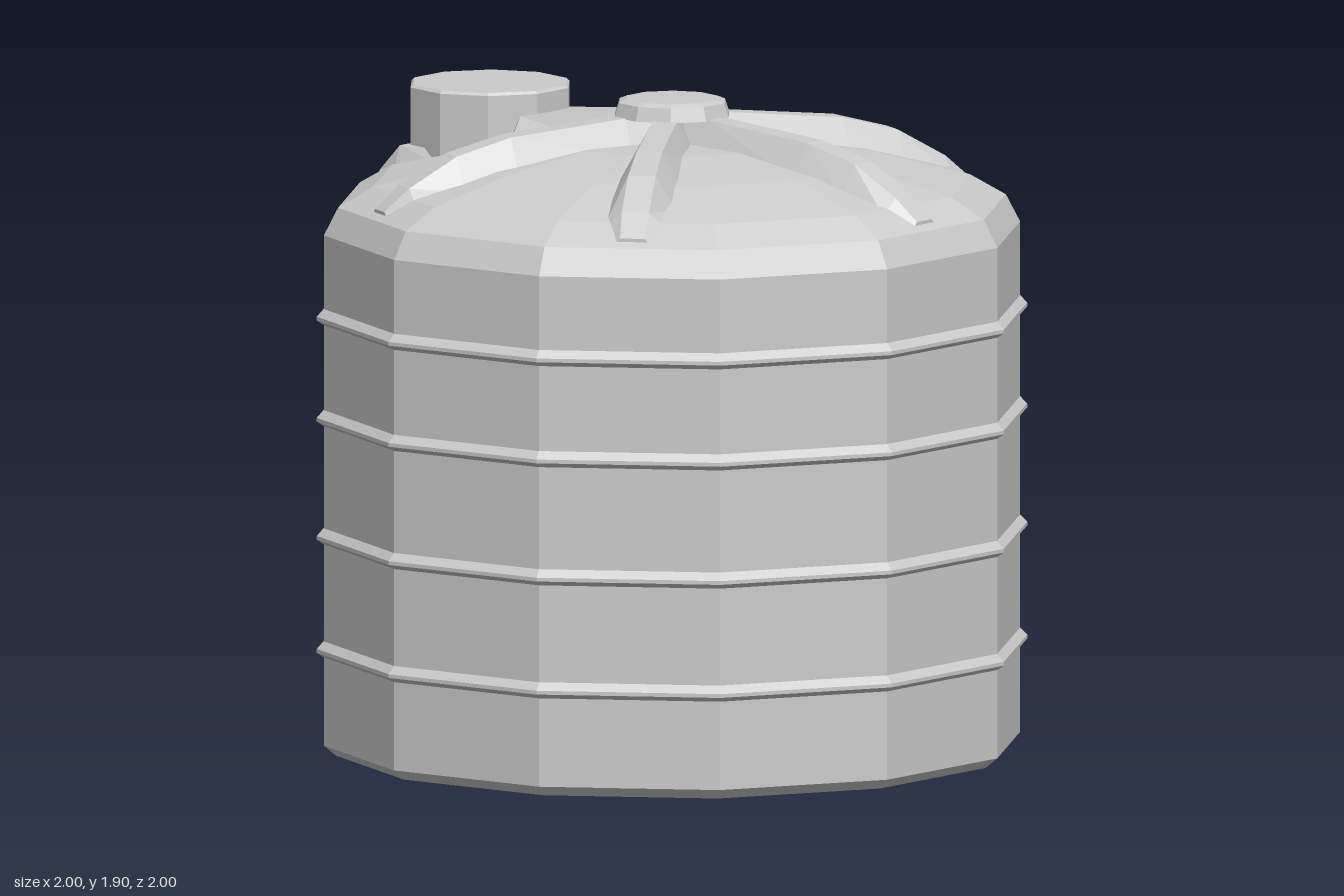
import * as THREE from 'three';

const material = new THREE.MeshStandardMaterial({ color: 0xcccccc, flatShading: true });

function addMesh(parent, name, geometry) {
  const mesh = new THREE.Mesh(geometry, material);
  mesh.name = name;
  parent.add(mesh);
  return mesh;
}

// Faceted solid of revolution with flats facing the axes; radii are measured to the flats
function faceted(profile, sides) {
  const k = 1 / Math.cos(Math.PI / sides);
  const points = profile.map(([r, y]) => new THREE.Vector2(r * k, y));
  return new THREE.LatheGeometry(points, sides, Math.PI / sides);
}

// Raised trapezoid strip running along +z; stations: [z, baseY, topY, baseHalf, topHalf]
function strip(stations) {
  const positions = [];
  const index = [];
  for (const [z, yb, yt, hb, ht] of stations) {
    positions.push(-hb, yb, z, -ht, yt, z, ht, yt, z, hb, yb, z);
  }
  for (let i = 0; i < stations.length - 1; i++) {
    for (let j = 0; j < 3; j++) {
      const a = i * 4 + j;
      index.push(a, a + 4, a + 1, a + 1, a + 4, a + 5);
    }
  }
  const e = (stations.length - 1) * 4;
  index.push(0, 1, 2, 0, 2, 3, e, e + 3, e + 2, e, e + 2, e + 1);
  const geometry = new THREE.BufferGeometry();
  geometry.setAttribute('position', new THREE.Float32BufferAttribute(positions, 3));
  geometry.setIndex(index);
  geometry.computeVertexNormals();
  return geometry;
}

export function createModel() {
  const tank = new THREE.Group();
  tank.name = 'waterTank';

  // Twelve-sided body with four hoops and a shallow domed roof
  const profile = [[0, 0], [0.945, 0], [0.98, 0.03]];
  for (const y of [0.31, 0.64, 0.985, 1.28]) {
    profile.push([0.98, y - 0.022], [1, y - 0.008], [1, y + 0.003], [0.98, y + 0.025]);
  }
  profile.push([0.98, 1.52], [0.94, 1.6], [0.84, 1.66], [0.58, 1.73], [0.3, 1.775], [0, 1.79]);
  addMesh(tank, 'body', faceted(profile, 12));

  // Five radial roof ribs
  const ribGeometry = strip([
    [0.02, 1.75, 1.855, 0.08, 0.035],
    [0.16, 1.75, 1.855, 0.085, 0.035],
    [0.52, 1.72, 1.82, 0.095, 0.037],
    [0.69, 1.68, 1.775, 0.1, 0.04],
    [0.84, 1.64, 1.69, 0.095, 0.04],
    [0.915, 1.6, 1.625, 0.06, 0.035],
  ]);
  for (const step of [0, 1, 2, -1, -2]) {
    addMesh(tank, 'roofRib', ribGeometry).rotation.y = step * Math.PI / 3;
  }

  // Sixth rib widens toward the hatch
  addMesh(tank, 'hatchRib', strip([
    [0.02, 1.75, 1.855, 0.05, 0.02],
    [0.16, 1.75, 1.855, 0.075, 0.03],
    [0.46, 1.72, 1.82, 0.18, 0.12],
    [0.5, 1.7, 1.715, 0.195, 0.14],
  ])).rotation.y = Math.PI;

  // Level seat under the hatch
  addMesh(tank, 'hatchSeat', strip([
    [0.44, 1.7, 1.715, 0.18, 0.15],
    [0.62, 1.66, 1.715, 0.24, 0.21],
    [0.82, 1.62, 1.715, 0.255, 0.22],
    [0.89, 1.6, 1.64, 0.255, 0.22],
  ])).rotation.y = Math.PI;

  // Ten-sided hatch lid
  const lid = addMesh(tank, 'hatchLid',
    faceted([[0, 1.66], [0.228, 1.66], [0.228, 1.882], [0.22, 1.89], [0, 1.89]], 10));
  lid.position.z = -0.66;

  // Central cap where the ribs meet
  addMesh(tank, 'centreCap',
    faceted([[0, 1.84], [0.165, 1.852], [0.152, 1.893], [0.13, 1.902], [0, 1.905]], 10));

  return tank;
}
